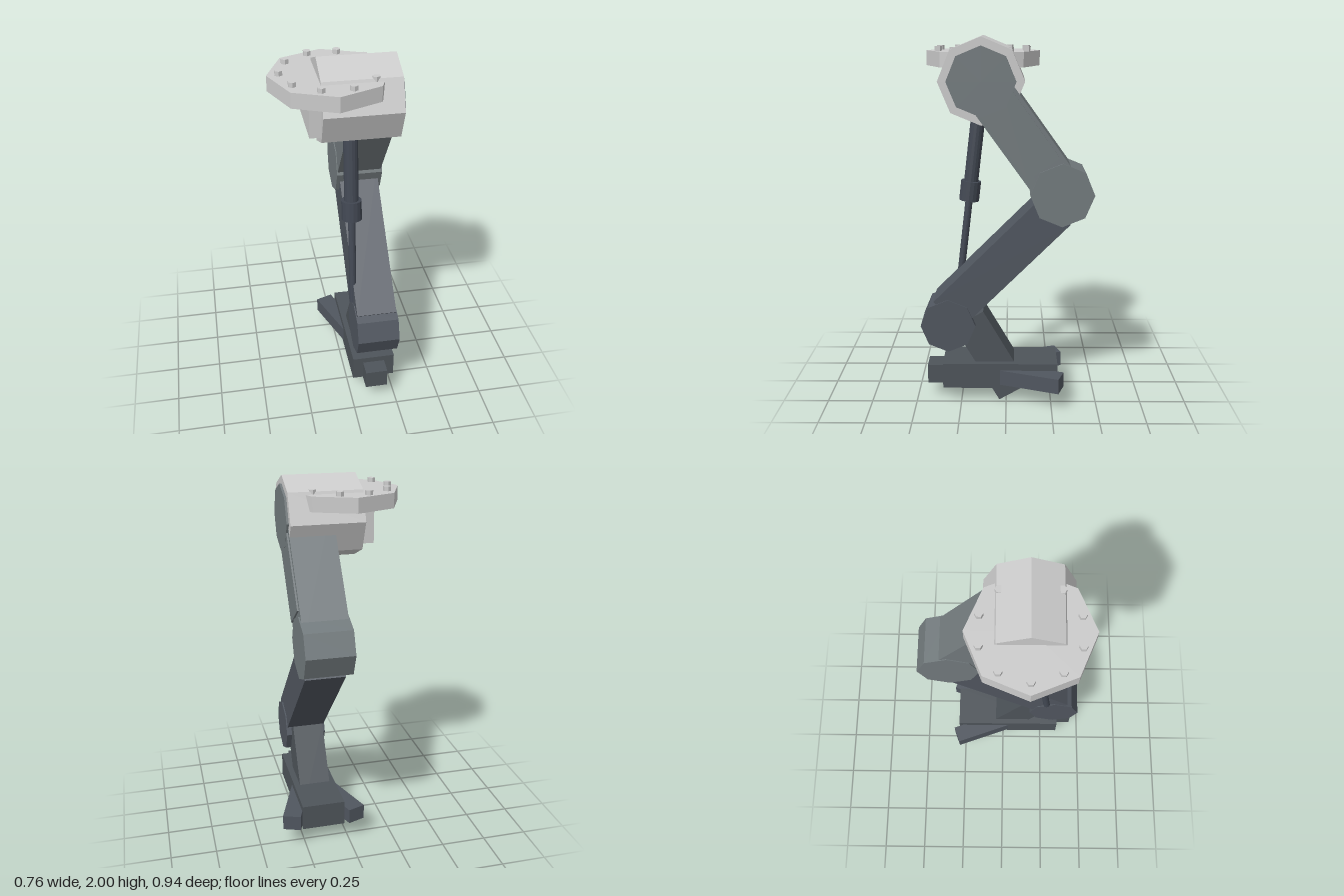
import * as THREE from 'three';

const mat = (color) => new THREE.MeshStandardMaterial({ color, flatShading: true });

export function createModel() {
  const model = new THREE.Group();
  const light = mat(0xcccccc), thigh = mat(0x727a7d), shin = mat(0x50565f);
  const foot = mat(0x4e545a), steel = mat(0x424853);

  const add = (name, geometry, material, x, y, z, parent = model) => {
    const mesh = new THREE.Mesh(geometry, material);
    mesh.name = name;
    mesh.position.set(x, y, z);
    parent.add(mesh);
    return mesh;
  };
  // Box spanning x0..x1, centred on (y, z), tilted about the x axis
  const bar = (name, material, x0, x1, y, z, h, d, tilt = 0) => {
    const m = add(name, new THREE.BoxGeometry(x1 - x0, h, d), material, (x0 + x1) / 2, y, z);
    m.rotation.x = tilt;
    return m;
  };
  // Eight-sided drum lying along x
  const drum = (name, material, x0, x1, y, z, r) =>
    add(name, new THREE.CylinderGeometry(r, r, x1 - x0, 8).rotateZ(Math.PI / 2), material, (x0 + x1) / 2, y, z);

  const hip = { y: 1.776, z: 0.127 }, knee = { y: 1.187, z: -0.297 };

  // Hip housing with its inner mount
  drum('hipHousing', light, -0.14, 0.26, hip.y, hip.z, 0.224);
  bar('hipMount', light, -0.2, -0.1, 1.75, hip.z, 0.2, 0.33);

  // Mounting flange with a ring of hexagonal bolts
  add('mountingFlange', new THREE.CylinderGeometry(0.308, 0.308, 0.08, 8), light, -0.073, 1.88, hip.z);
  for (let i = 0; i < 10; i++) {
    const a = (i / 10) * Math.PI * 2;
    add('flangeBolt', new THREE.CylinderGeometry(0.021, 0.021, 0.024, 6), light,
      -0.073 - 0.248 * Math.cos(a), 1.932, hip.z + 0.248 * Math.sin(a));
  }

  // Upper leg: beam, raised side plate and knee
  const dy = hip.y - knee.y, dz = hip.z - knee.z;
  const tilt = Math.atan2(dz, dy), length = Math.hypot(dy, dz);
  bar('upperLeg', thigh, 0.015, 0.262, (hip.y + knee.y) / 2, (hip.z + knee.z) / 2, length, 0.245, tilt);
  drum('hipCover', thigh, 0.2, 0.272, hip.y, hip.z, 0.18);
  const s = 0.2775 / length; // midpoint of the plate along the leg
  bar('sidePlate', thigh, 0.2, 0.271, hip.y - dy * s, hip.z - dz * s, 0.555, 0.205, tilt);
  drum('knee', thigh, 0.01, 0.27, knee.y, knee.z, 0.17);

  // Lower leg and ankle
  bar('shin', shin, 0.03, 0.25, 0.807, 0.027, 0.83, 0.215, -Math.PI / 4);
  drum('ankle', shin, 0.025, 0.257, 0.452, 0.318, 0.15);
  bar('ankleLink', foot, 0.05, 0.227, 0.263, 0.082, 0.5, 0.187, Math.PI / 6);

  // Foot: sole block, front toe and two splayed heel spurs
  bar('foot', foot, 0.02, 0.26, 0.158, 0.033, 0.143, 0.635);
  bar('toe', foot, 0.078, 0.202, 0.143, 0.37, 0.108, 0.14);
  for (const side of [-1, 1]) {
    const spur = add('heelSpur', new THREE.BoxGeometry(0.1, 0.085, 0.5), shin, 0.14 + side * 0.1025, 0.148, -0.066);
    spur.rotation.y = -side * 0.345;
  }

  // Piston: barrel, collar and rod on one leaning axis, origin at the collar
  const piston = new THREE.Group();
  piston.name = 'piston';
  piston.position.set(0.03, 1.165, 0.2);
  piston.rotation.x = -0.118;
  model.add(piston);
  for (const [name, r, y0, y1] of [['pistonBarrel', 0.039, 0, 0.46], ['pistonCollar', 0.055, -0.055, 0.055], ['pistonRod', 0.02, -0.57, 0]]) {
    add(name, new THREE.CylinderGeometry(r, r, y1 - y0, 16), steel, 0, (y0 + y1) / 2, 0, piston);
  }
  return model;
}
